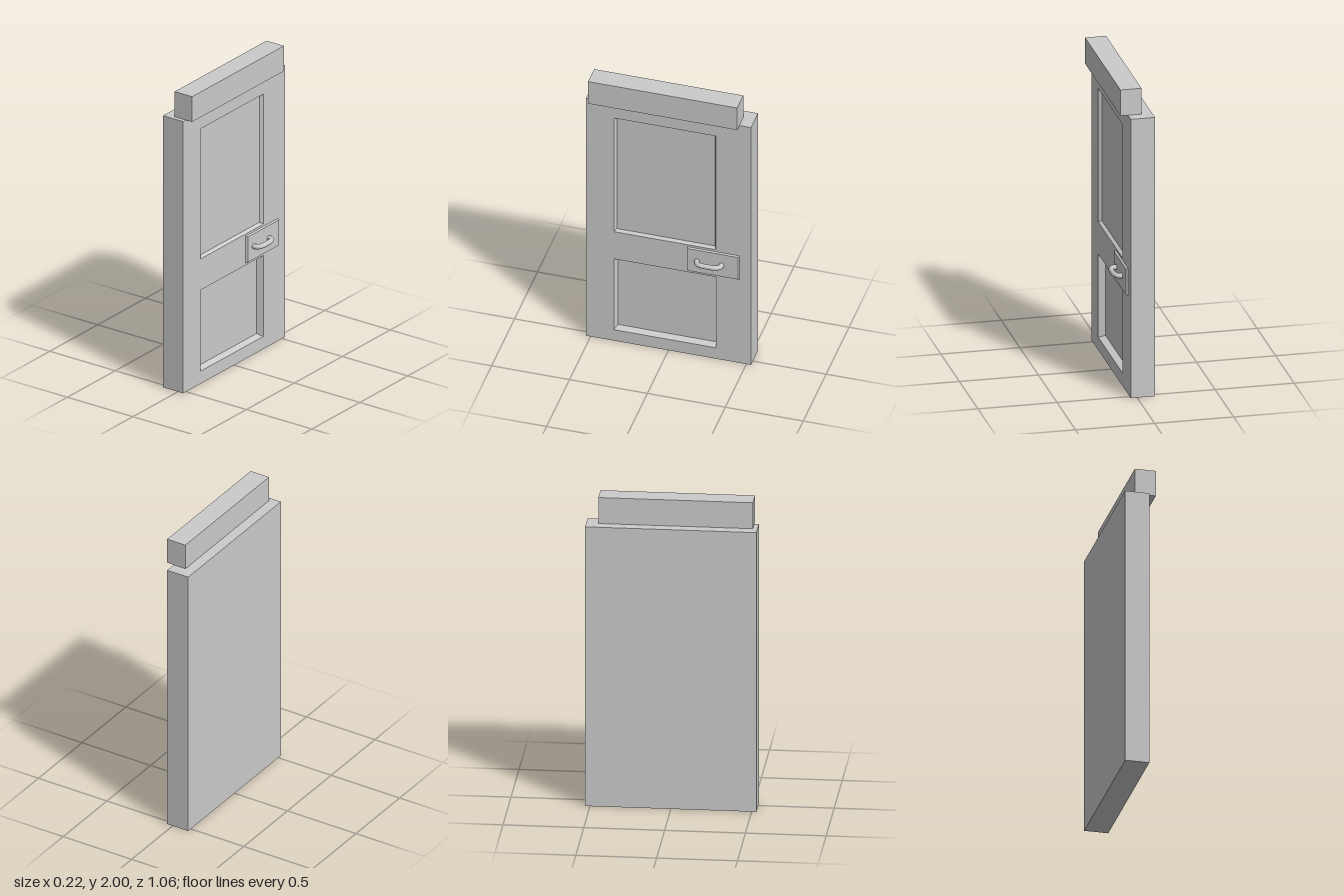
import * as THREE from 'three';

const material = new THREE.MeshStandardMaterial({ color: 0xcccccc });

// Door face frame: u runs across the door, v is up, w points out of its face.
const DOOR = { u0: -0.53, u1: 0.53, v0: 0, v1: 1.83, w0: -0.113, w1: 0.04 };

function add(parent, name, geometry) {
  const mesh = new THREE.Mesh(geometry, material);
  mesh.name = name;
  parent.add(mesh);
  return mesh;
}

function block({ u0, u1, v0, v1, w0, w1 }) {
  return new THREE.BoxGeometry(u1 - u0, v1 - v0, w1 - w0)
    .translate((u0 + u1) / 2, (v0 + v1) / 2, (w0 + w1) / 2);
}

// Counter-clockwise corners of a rectangle, pulled in by inset
const corners = ({ u0, u1, v0, v1 }, inset = 0) => [
  [u0 + inset, v0 + inset], [u1 - inset, v0 + inset],
  [u1 - inset, v1 - inset], [u0 + inset, v1 - inset],
];

// Sloped border plus flat centre: sunken for a negative height, raised for a positive one
function bevelledPanel(rect, inset, height) {
  const outer = corners(rect).map(([u, v]) => [u, v, DOOR.w1]);
  const inner = corners(rect, inset).map(([u, v]) => [u, v, DOOR.w1 + height]);
  const positions = [];
  const quad = (a, b, c, d) => positions.push(...a, ...b, ...c, ...a, ...c, ...d);
  for (let i = 0; i < 4; i++) {
    const j = (i + 1) % 4;
    quad(outer[i], outer[j], inner[j], inner[i]);
  }
  quad(...inner);
  const geometry = new THREE.BufferGeometry();
  geometry.setAttribute('position', new THREE.Float32BufferAttribute(positions, 3));
  geometry.computeVertexNormals();
  return geometry;
}

export function createModel() {
  const model = new THREE.Group();
  model.name = 'door';
  model.rotation.y = Math.PI / 2; // face of the door looks along +x

  const panels = [
    { name: 'upperPanel', depth: 0.02, u0: -0.35, u1: 0.305, v0: 0.84, v1: 1.716 },
    { name: 'lowerPanel', depth: 0.043, u0: -0.35, u1: 0.305, v0: 0.084, v1: 0.63 },
  ];

  // Slab sides and back: a box without its front face
  const slab = block(DOOR);
  const index = Array.from(slab.index.array);
  index.splice(24, 6);
  slab.setIndex(index);
  slab.clearGroups();
  add(model, 'doorSlab', slab);

  // Front face with openings for the panels
  const toPoints = (list) => list.map(([u, v]) => new THREE.Vector2(u, v));
  const face = new THREE.Shape(toPoints(corners(DOOR)));
  for (const p of panels) face.holes.push(new THREE.Path(toPoints(corners(p).reverse())));
  add(model, 'doorFace', new THREE.ShapeGeometry(face).translate(0, 0, DOOR.w1));

  // Recessed panels
  for (const p of panels) add(model, p.name, bevelledPanel(p, 0.013, -p.depth));

  // Header beam above the door
  add(model, 'headerBeam', block({ u0: -0.502, u1: 0.455, v0: 1.83, v1: 2, w0: -0.045, w1: 0.088 }));

  // Handle plate and bowed pull handle
  add(model, 'handlePlate', bevelledPanel({ u0: 0.122, u1: 0.456, v0: 0.645, v1: 0.825 }, 0.005, 0.012));
  const bow = [[-0.078, 0.04], [-0.078, 0.066], [-0.068, 0.083], [-0.042, 0.093], [0, 0.095],
    [0.042, 0.093], [0.068, 0.083], [0.078, 0.066], [0.078, 0.04]];
  const path = new THREE.CatmullRomCurve3(bow.map(([u, w]) => new THREE.Vector3(0.265 + u, 0.738, w)));
  add(model, 'pullHandle', new THREE.TubeGeometry(path, 40, 0.016, 14));

  const root = new THREE.Group();
  root.name = 'doorWithHeader';
  root.add(model);
  return root;
}
